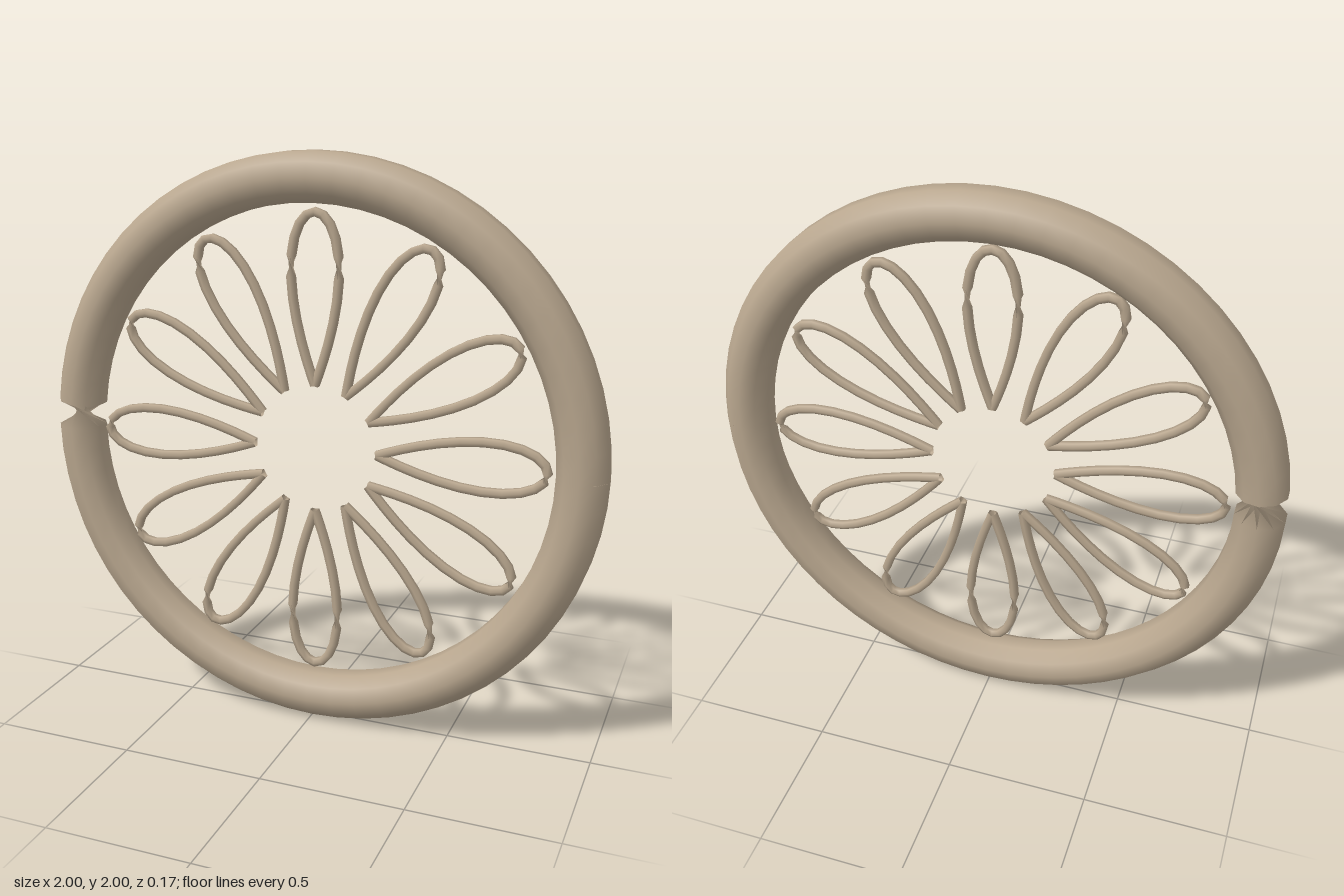
import * as THREE from 'three';

const TAU = Math.PI * 2;
const UP = new THREE.Vector3(0, 1, 0);

// Sweeps a round section along a planar loop. The section is oriented from the
// vertical axis, so it turns over (a pinch) wherever the path passes vertical.
function sweep(path, segments, radius, sides) {
  const positions = [], normals = [], index = [];
  const eps = 1e-3;
  for (let j = 0; j <= segments; j++) {
    const t = j / segments;
    const p = path(t);
    const tangent = j < segments
      ? path(t + eps).sub(p)
      : p.clone().sub(path(t - eps));
    tangent.normalize();
    const side = tangent.clone().cross(UP).normalize();
    const other = side.clone().cross(tangent);
    for (let i = 0; i <= sides; i++) {
      const a = (i / sides) * TAU;
      const n = side.clone().multiplyScalar(Math.cos(a)).addScaledVector(other, Math.sin(a));
      normals.push(n.x, n.y, n.z);
      positions.push(p.x + n.x * radius, p.y + n.y * radius, p.z + n.z * radius);
    }
  }
  const row = sides + 1;
  for (let j = 0; j < segments; j++) {
    for (let i = 0; i < sides; i++) {
      const a = j * row + i, b = a + row;
      index.push(a, b, a + 1, b, b + 1, a + 1);
    }
  }
  const geometry = new THREE.BufferGeometry();
  geometry.setAttribute('position', new THREE.Float32BufferAttribute(positions, 3));
  geometry.setAttribute('normal', new THREE.Float32BufferAttribute(normals, 3));
  geometry.setIndex(index);
  return geometry;
}

// Outer circle
const rimPath = (t) =>
  new THREE.Vector3(0.917 * Math.cos(t * TAU), 0.917 * Math.sin(t * TAU), 0);

// Teardrop loop pointing at the centre, turned to the given angle
const petalPath = (angle) => (t) => {
  const u = t * TAU;
  const along = 0.514 - 0.29 * Math.cos(u);
  const across = -0.111 * Math.sin(u) * Math.abs(Math.sin(u / 2));
  const c = Math.cos(angle), s = Math.sin(angle);
  return new THREE.Vector3(along * c - across * s, along * s + across * c, 0);
};

export function createModel() {
  const model = new THREE.Group();
  model.name = 'petalWheel';
  const stone = new THREE.MeshStandardMaterial({ color: 0xb8a68e, side: THREE.DoubleSide });
  stone.name = 'warm stone';

  const add = (name, geometry) => {
    const mesh = new THREE.Mesh(geometry, stone);
    mesh.name = name;
    mesh.position.y = 1;
    model.add(mesh);
  };

  // Thick rim
  add('rim', sweep(rimPath, 64, 0.087, 10));

  // Twelve thin petal loops
  for (let k = 0; k < 12; k++) {
    add(`petal${k + 1}`, sweep(petalPath((k / 12) * TAU), 24, 0.017, 6));
  }
  return model;
}
